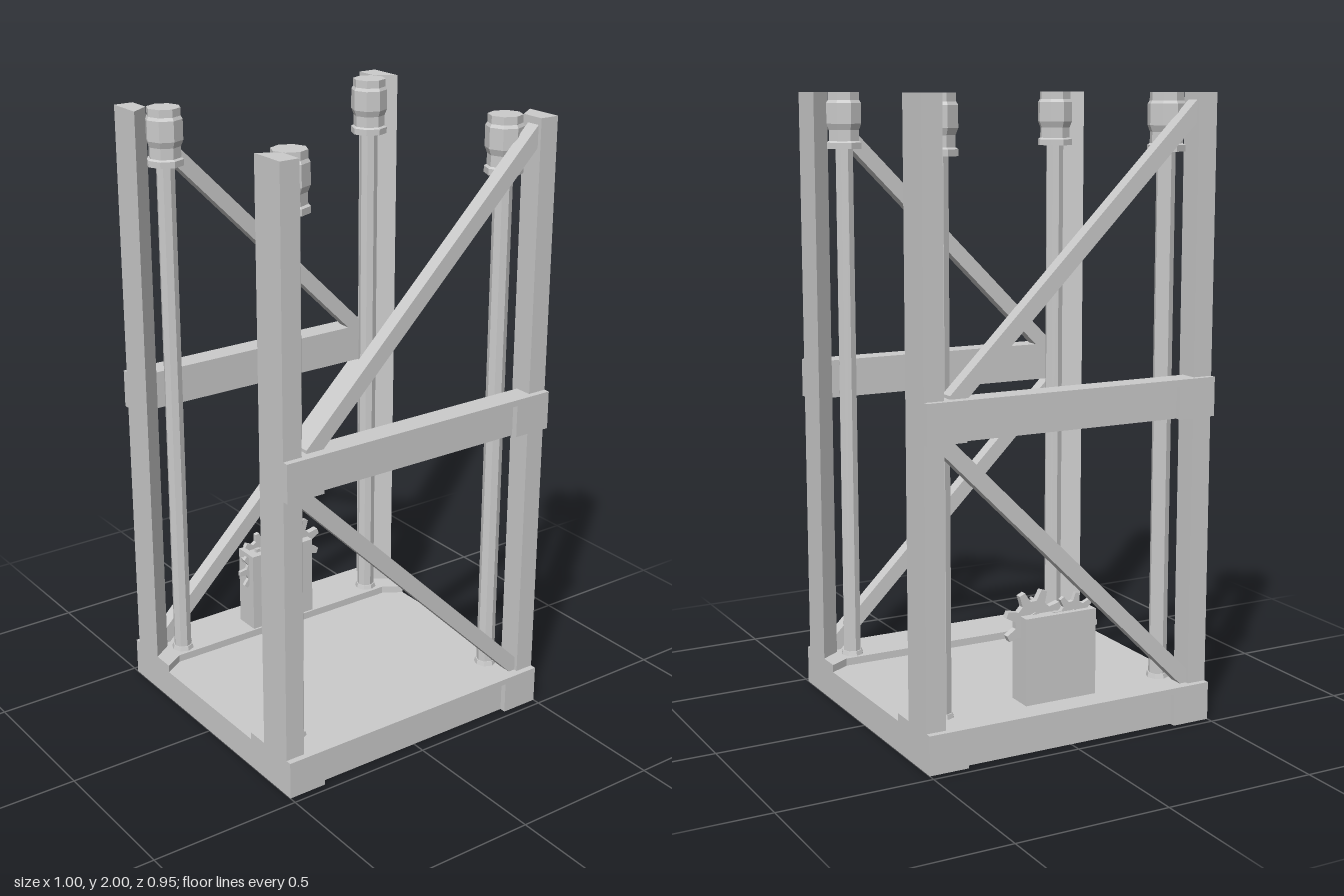
import * as THREE from 'three';

const material = new THREE.MeshStandardMaterial({ color: 0xcccccc, flatShading: true });

function add(parent, name, geometry, x = 0, y = 0, z = 0) {
  const mesh = new THREE.Mesh(geometry, material);
  mesh.name = name;
  mesh.position.set(x, y, z);
  parent.add(mesh);
  return mesh;
}

// Box given by its limits on each axis
function block(parent, name, x0, x1, y0, y1, z0, z1) {
  return add(parent, name, new THREE.BoxGeometry(x1 - x0, y1 - y0, z1 - z0),
    (x0 + x1) / 2, (y0 + y1) / 2, (z0 + z1) / 2);
}

const outline = (points) => new THREE.Shape(points.map(([x, y]) => new THREE.Vector2(x, y)));

// Plan outline (x, z) raised from y0 to y1
function prism(parent, name, points, y0, y1) {
  const geometry = new THREE.ExtrudeGeometry(outline(points), { depth: y1 - y0, bevelEnabled: false });
  geometry.rotateX(Math.PI / 2);
  return add(parent, name, geometry, 0, y1, 0);
}

// Front outline (x, y) extruded between z0 and z1
function plate(parent, name, points, z0, z1) {
  const geometry = new THREE.ExtrudeGeometry(outline(points), { depth: z1 - z0, bevelEnabled: false });
  return add(parent, name, geometry, 0, 0, z0);
}

// Cross beam with a recessed face under a top lip
function beam(parent, name, y0, y1, inner) {
  const group = new THREE.Group();
  group.name = name;
  block(group, 'beamCore', -0.5, 0.5, y0, y1, inner, 0.455);
  block(group, 'beamLip', -0.37, 0.37, y1 - 0.02, y1, 0.455, 0.475);
  for (const s of [-1, 1]) {
    block(group, 'beamEnd', Math.min(s * 0.37, s * 0.5), Math.max(s * 0.37, s * 0.5), y0, y1, 0.455, 0.475);
  }
  parent.add(group);
}

// Diagonal brace with upright ends
function brace(parent, name, x0, y0, x1, y1) {
  const h = 0.035;
  plate(parent, name, [[x0, y0 - h], [x1, y1 - h], [x1, y1 + h], [x0, y0 + h]], 0.396, 0.443);
}

// One braced side with its posts and lifting columns
function createSide(name) {
  const side = new THREE.Group();
  side.name = name;

  // Base rail and raised ledge with flared ends
  beam(side, 'baseRail', 0, 0.125, 0.4);
  prism(side, 'baseLedge', [[-0.5, 0.255], [-0.435, 0.295], [0.435, 0.295], [0.5, 0.255], [0.5, 0.42], [-0.5, 0.42]], 0.09, 0.125);
  beam(side, 'middleBeam', 1.0, 1.125, 0.396);
  brace(side, 'upperBrace', -0.41, 1.1, 0.437, 1.945);
  brace(side, 'lowerBrace', -0.437, 1.0, 0.437, 0.135);

  for (const s of [-1, 1]) {
    prism(side, 'post', [[s * 0.5, 0.455], [s * 0.435, 0.455], [s * 0.435, 0.375], [s * 0.5, 0.33]], 0.1, 2);
    add(side, 'column', new THREE.CylinderGeometry(0.03, 0.03, 1.72, 8), s * 0.392, 0.98, 0.342);
    add(side, 'columnFoot', new THREE.CylinderGeometry(0.034, 0.038, 0.015, 8), s * 0.392, 0.132, 0.342);
    // Eight-sided motor head with a flange at the bottom
    const profile = [[0, 1.82], [0.06, 1.82], [0.06, 1.84], [0.052, 1.845], [0.052, 1.88],
      [0.06, 1.9], [0.06, 1.965], [0.054, 1.975], [0.054, 2], [0, 2]];
    add(side, 'motorHead', new THREE.LatheGeometry(profile.map(([r, y]) => new THREE.Vector2(r, y)), 8),
      s * 0.392, 0, 0.342);
  }
  return side;
}

// Toothed wheel facing the front
function gear(parent, x, y, z, radius, teeth, thickness, turn) {
  const points = [];
  for (let i = 0; i < teeth; i++) {
    for (const [offset, k] of [[-0.3, 0.66], [-0.13, 1], [0.13, 1], [0.3, 0.66]]) {
      const a = ((i + offset) / teeth) * Math.PI * 2 + turn;
      points.push([Math.cos(a) * radius * k, Math.sin(a) * radius * k]);
    }
  }
  const mesh = plate(parent, 'gear', points, 0, thickness);
  mesh.position.set(x, y, z - thickness / 2);
  const hub = add(parent, 'gearHub', new THREE.CylinderGeometry(radius * 0.3, radius * 0.3, thickness * 1.5, 8), x, y, z);
  hub.rotation.x = Math.PI / 2;
}

// Box with gears and a hand crank
function createGearbox() {
  const group = new THREE.Group();
  group.name = 'gearbox';
  block(group, 'gearboxCase', -0.125, 0.125, 0.1, 0.405, -0.39, -0.302);

  gear(group, -0.055, 0.385, -0.363, 0.075, 8, 0.015, 0.2);
  gear(group, -0.085, 0.34, -0.333, 0.077, 8, 0.013, 0);
  gear(group, 0.075, 0.38, -0.341, 0.102, 8, 0.022, 0.35);

  const rod = (name, r0, r1, length, y, z) => {
    add(group, name, new THREE.CylinderGeometry(r0, r1, length, 8), 0, y, z).rotation.x = Math.PI / 2;
  };
  rod('crankPlate', 0.034, 0.034, 0.006, 0.29, -0.299);
  rod('crankHub', 0.014, 0.014, 0.035, 0.29, -0.28);
  rod('crankHandle', 0.005, 0.005, 0.08, 0.405, -0.235);
  add(group, 'crankArm', new THREE.CylinderGeometry(0.005, 0.008, 0.118, 8), 0, 0.35, -0.27);
  return group;
}

export function createModel() {
  const model = new THREE.Group();
  model.name = 'liftFrame';
  block(model, 'floor', -0.5, 0.5, 0, 0.1, -0.4, 0.4);

  // The back side is the front side turned half way round
  const front = createSide('frontSide');
  const back = createSide('backSide');
  back.rotation.y = Math.PI;
  model.add(front, back, createGearbox());
  return model;
}
